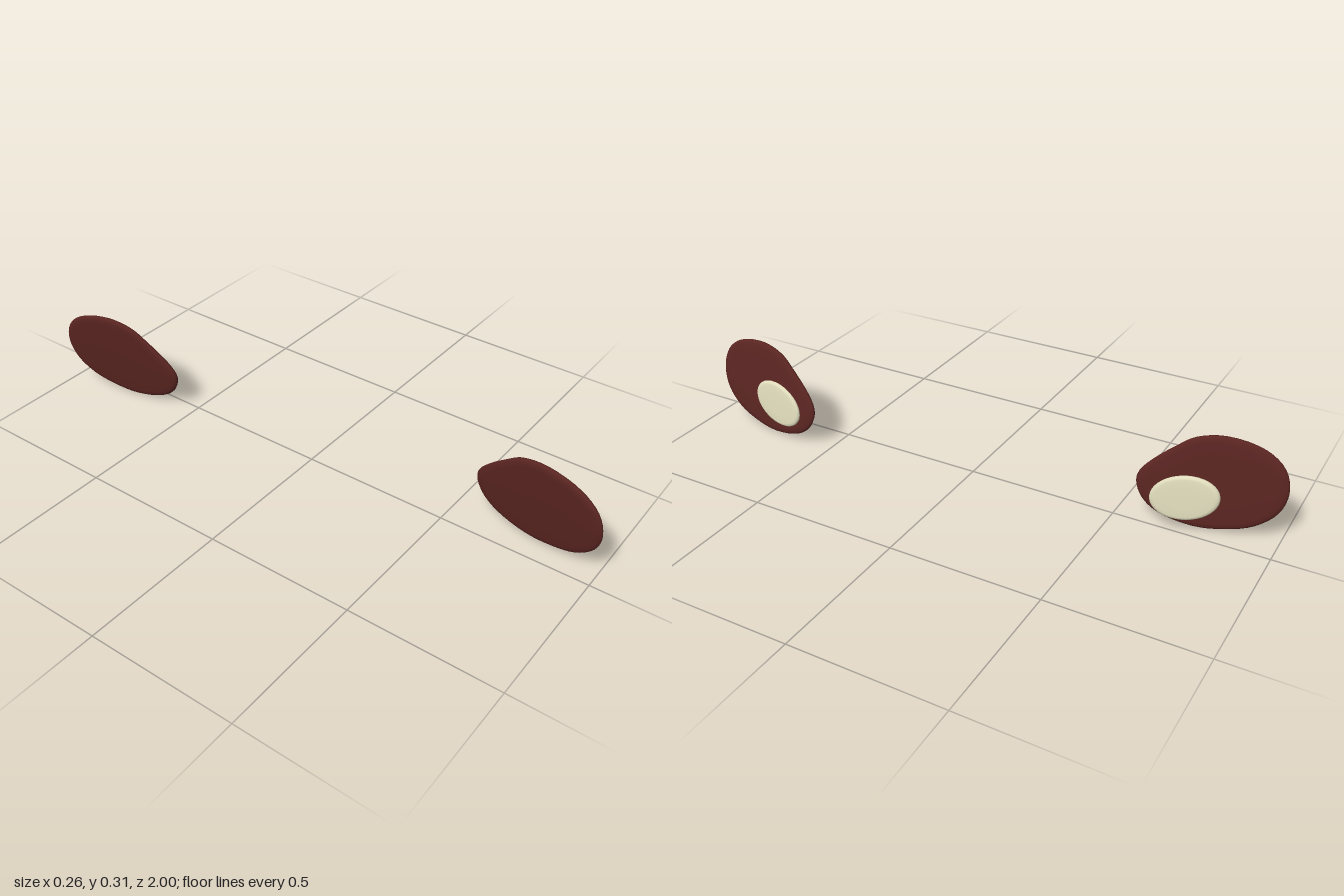
import * as THREE from 'three';

const shellMat = new THREE.MeshStandardMaterial({ color: 0x5a2521 });
const discMat = new THREE.MeshStandardMaterial({ color: 0xe0dcbc });

// Slanted plane that both plates follow
const plane = (z, y) => 0.22 - 0.163 * z - 0.123 * y;

// Rounded slab: the outline [z, y] shrunk into rings [scale, x offset / half thickness]
const rings = [[0, -1], [0.5, -1], [0.86, -0.95], [0.95, -0.75], [0.99, -0.38], [1, 0],
  [0.99, 0.38], [0.95, 0.75], [0.86, 0.95], [0.5, 1], [0, 1]];

function slab(outline, cz, cy, half, shift, side) {
  const pos = [], index = [], n = outline.length;
  for (const [k, t] of rings) {
    for (const [pz, py] of outline) {
      const z = cz + (pz - cz) * k, y = cy + (py - cy) * k;
      pos.push(plane(z, y) + shift + t * half, y, side * z);
    }
  }
  for (let i = 0; i < rings.length - 1; i++) {
    for (let j = 0; j < n; j++) {
      const a = i * n + j, b = i * n + (j + 1) % n, c = b + n, d = a + n;
      if (side > 0) index.push(a, d, b, d, c, b);
      else index.push(a, b, d, d, b, c);
    }
  }
  const geo = new THREE.BufferGeometry();
  geo.setAttribute('position', new THREE.Float32BufferAttribute(pos, 3));
  geo.setIndex(index);
  geo.computeVertexNormals();
  return geo;
}

export function createModel() {
  const group = new THREE.Group();

  // Lopsided egg outline of the large plate
  const knots = [[1, 0.163], [0.98, 0.235], [0.917, 0.286], [0.8, 0.309], [0.71, 0.29], [0.66, 0.254],
    [0.596, 0.198], [0.56, 0.153], [0.553, 0.118], [0.575, 0.067], [0.628, 0.027], [0.74, 0.002],
    [0.837, 0.012], [0.92, 0.04], [0.98, 0.094]];
  const curve = new THREE.CatmullRomCurve3(knots.map(([z, y]) => new THREE.Vector3(z, y, 0)), true);
  const plateOutline = curve.getPoints(60).slice(0, 60).map((p) => [p.x, p.y]);

  // Slightly tilted oval of the pale disc
  const discOutline = Array.from({ length: 40 }, (_, i) => {
    const a = (i / 40) * Math.PI * 2;
    return [0.717 + 0.104 * Math.cos(a), 0.116 + 0.072 * Math.sin(a) + 0.012 * Math.cos(a)];
  });

  // Front pair touches, rear pair is shifted sideways with a gap
  for (const [name, side, plateShift, discShift] of [['front', 1, 0, 0.013], ['rear', -1, -0.155, -0.107]]) {
    const plate = new THREE.Mesh(slab(plateOutline, 0.77, 0.15, 0.012, plateShift, side), shellMat);
    plate.name = name + 'Plate';
    const disc = new THREE.Mesh(slab(discOutline, 0.717, 0.116, 0.01, discShift, side), discMat);
    disc.name = name + 'Disc';
    group.add(plate, disc);
  }
  return group;
}
